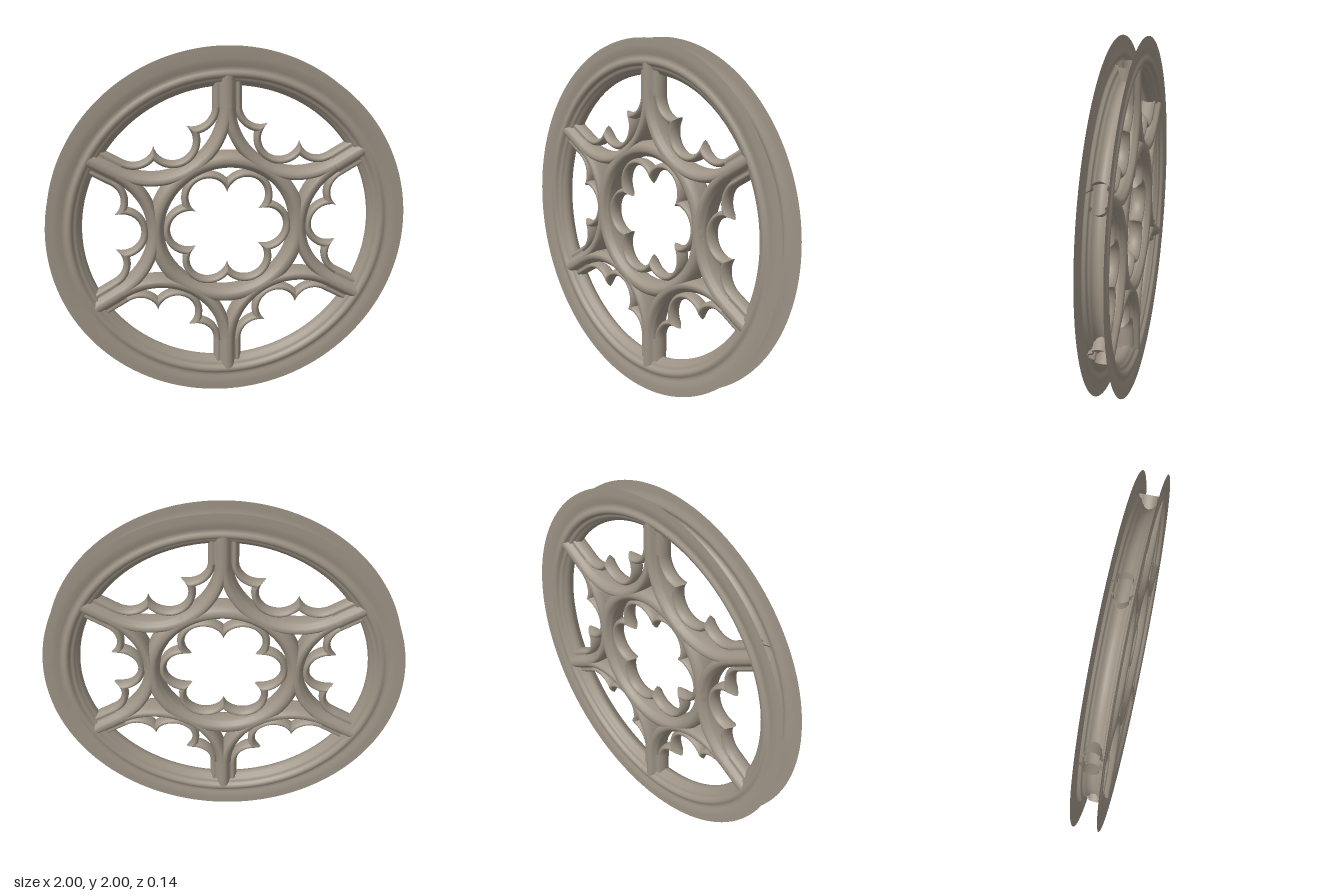
import * as THREE from 'three';
import { mergeVertices } from 'three/addons/utils/BufferGeometryUtils.js';

const stone = new THREE.MeshStandardMaterial({ color: 0x9d9385, side: THREE.DoubleSide });
stone.name = 'stone';

const R = 0.4;          // centreline radius of the seven touching circles
const FOIL_C = 0.212;   // distance of a foil's centre from its circle's centre
const FOIL_R = 0.108;   // radius of a foil's opening
const SIXTH = Math.PI / 3;

// Sweep a moulding: profile pairs [offset, z] describe the front half and are mirrored to the back.
// place(offset, u) gives the x, y position for u from 0 to 1.
function sweep(name, profile, steps, place) {
  const back = profile.slice(0, -1).reverse().map(([d, z]) => [d, -z]);
  const loop = [...profile, ...back];
  const n = loop.length, pos = [], idx = [];
  for (let i = 0; i <= steps; i++) {
    for (const [d, z] of loop) pos.push(...place(d, i / steps), z);
  }
  for (let i = 0; i < steps; i++) {
    for (let j = 0; j < n - 1; j++) {
      const a = i * n + j, b = a + n;
      idx.push(a, b, b + 1, a, b + 1, a + 1);
    }
  }
  let geo = new THREE.BufferGeometry();
  geo.setAttribute('position', new THREE.Float32BufferAttribute(pos, 3));
  geo.setIndex(idx);
  geo = mergeVertices(geo, 1e-5);
  geo.computeVertexNormals();
  const mesh = new THREE.Mesh(geo, stone);
  mesh.name = name;
  return mesh;
}

// Arc of a circle; offsets are measured inward from its centreline
const arc = (radius, from, to) => (d, u) => {
  const t = from + (to - from) * u;
  return [(radius - d) * Math.cos(t), (radius - d) * Math.sin(t)];
};

// Outer ring: radius, z; flat rim, shallow hollow, roll and stepped reveal
const rimProfile = [
  [1, 0.07], [0.96, 0.07], [0.935, 0.068], [0.915, 0.061], [0.9, 0.059], [0.89, 0.064], [0.88, 0.07],
  [0.868, 0.07], [0.858, 0.063], [0.853, 0.052], [0.845, 0.047], [0.835, 0.046], [0.829, 0.038],
  [0.824, 0.03], [0.815, 0.026], [0.808, 0.014], [0.803, 0],
];

// Half of a spoke: distance from its centreline, z
const spokeHalf = [
  [0, 0.07], [0.012, 0.069], [0.022, 0.063], [0.03, 0.052], [0.036, 0.043], [0.043, 0.036],
  [0.05, 0.037], [0.058, 0.04], [0.066, 0.036], [0.073, 0.024], [0.077, 0.016], [0.08, 0],
];
const spokeProfile = [...spokeHalf.slice(1).reverse(), ...spokeHalf.map(([d, z]) => [-d, z])];

// Circle moulding with its own width on the outer side
function circleProfile(out) {
  return [
    [-out, 0], [-out, 0.03], [-out * 0.85, 0.046], [-out * 0.6, 0.061], [-out * 0.3, 0.068],
    [0, 0.07], [0.012, 0.069], [0.022, 0.063], [0.03, 0.052], [0.036, 0.043], [0.043, 0.034], [0.046, 0],
  ];
}

// Foil moulding: radius about the foil's centre, z
const foilProfile = [
  [0.041, 0], [0.038, 0.022], [0.03, 0.035], [0.022, 0.04], [0.014, 0.036],
  [0.007, 0.024], [0.003, 0.016], [0, 0],
].map(([d, z]) => [FOIL_R + d, z]);

// Angle at which a foil strand of radius r meets the mitre line between neighbouring foils
function cuspAngle(r) {
  const half = FOIL_C * 0.5;
  const s = FOIL_C * Math.cos(SIXTH / 2) + Math.sqrt(r * r - half * half);
  return Math.atan2(s * 0.5, s * Math.cos(SIXTH / 2) - FOIL_C);
}

// from and to run from -1 (one cusp) to 1 (the other cusp)
function foil(angle, from, to) {
  const mesh = sweep('foil', foilProfile, Math.round(24 * (to - from)), (r, u) => {
    const t = cuspAngle(r) * (from + (to - from) * u);
    return [FOIL_C + r * Math.cos(t), r * Math.sin(t)];
  });
  mesh.rotation.z = angle;
  return mesh;
}

export function createModel() {
  const model = new THREE.Group();
  model.name = 'roseWindow';
  const tracery = new THREE.Group();
  tracery.name = 'tracery';
  tracery.position.y = 1;
  model.add(tracery);

  // Outer ring
  tracery.add(sweep('outerRing', rimProfile, 128, (r, u) => {
    const t = u * Math.PI * 2;
    return [r * Math.cos(t), r * Math.sin(t)];
  }));

  // Central circle with six foils
  const centre = new THREE.Group();
  centre.name = 'centralCircle';
  centre.add(sweep('centralRing', circleProfile(0.042), 96, arc(R, 0, Math.PI * 2)));
  for (let k = 0; k < 6; k++) centre.add(foil(k * SIXTH, -1, 1));
  tracery.add(centre);

  for (let k = 0; k < 6; k++) {
    const angle = k * SIXTH;

    // Spoke, starting where two neighbouring arcs touch
    const inner = 2 * R * Math.cos(SIXTH / 2);
    const spoke = sweep('spoke', spokeProfile, 4, (d, u) => [d, inner + (0.875 - inner) * u]);
    spoke.rotation.z = angle;
    tracery.add(spoke);

    // Cusped arc opening outward, local +x toward the window's centre
    const bay = new THREE.Group();
    bay.name = 'cuspedBay';
    bay.position.set(2 * R * Math.cos(angle), 2 * R * Math.sin(angle), 0);
    bay.rotation.z = angle + Math.PI;
    bay.add(sweep('bayArc', circleProfile(0.024), 40, arc(R, -SIXTH, SIXTH)));
    bay.add(foil(0, -1, 1), foil(SIXTH, -1, 0), foil(-SIXTH, 0, 1));
    tracery.add(bay);
  }
  return model;
}
